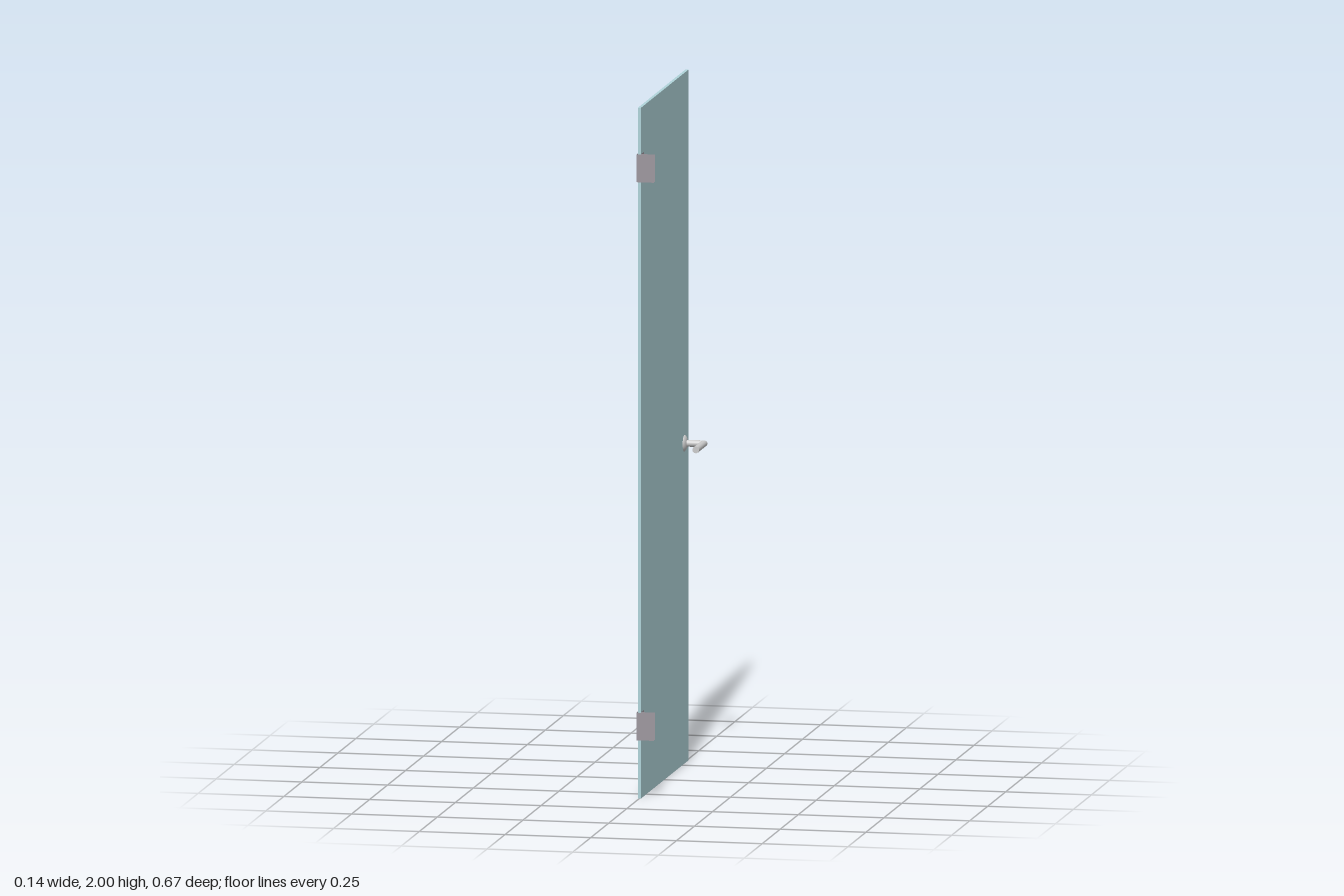
import * as THREE from 'three';

const glass = new THREE.MeshStandardMaterial({ color: 0xb0d4da });
const metal = new THREE.MeshStandardMaterial({ color: 0xcccccc });
const hingeMetal = new THREE.MeshStandardMaterial({ color: 0x9c969e, side: THREE.DoubleSide });

function addMesh(parent, name, geometry, material) {
  const mesh = new THREE.Mesh(geometry, material);
  mesh.name = name;
  parent.add(mesh);
  return mesh;
}

// Open L-shaped sheet: one leaf along the glass, one leaf across the edge
function addAngleSheet(parent, name, x, z, height) {
  const zInner = 0.286, xOuter = 0.045;
  const side = addMesh(parent, name + 'SideLeaf', new THREE.PlaneGeometry(z - zInner, height), hingeMetal);
  side.rotation.y = -Math.PI / 2;
  side.position.set(x, 0, (z + zInner) / 2);
  const front = addMesh(parent, name + 'FrontLeaf', new THREE.PlaneGeometry(xOuter - x, height), hingeMetal);
  front.position.set((x + xOuter) / 2, 0, z);
}

function createHinge(name, y) {
  const hinge = new THREE.Group();
  hinge.name = name;
  addAngleSheet(hinge, 'outer', -0.006, 0.335, 0.08);
  addAngleSheet(hinge, 'inner', 0.005, 0.323, 0.08);
  hinge.position.y = y;
  return hinge;
}

// Lever handle reaching out along +x, then turning towards +z with a mitred corner
function createHandle(name) {
  const handle = new THREE.Group();
  handle.name = name;
  const r = 0.0098, reach = 0.06, length = 0.106;

  // Domed rose
  const profile = [[0.024, 0.004], [0.0235, 0.006], [0.02, 0.009], [0.015, 0.0115], [0.0095, 0.0125], [0, 0.0125]];
  const rose = new THREE.LatheGeometry(profile.map(([a, b]) => new THREE.Vector2(a, b)), 32);
  addMesh(handle, 'rose', rose.rotateZ(-Math.PI / 2), metal);

  // Neck, its outer end cut at 45 degrees
  const neck = new THREE.CylinderGeometry(r, r, reach, 24, 1, true);
  neck.rotateZ(-Math.PI / 2).translate(reach / 2, 0, 0);
  const np = neck.attributes.position;
  for (let i = 0; i < np.count; i++) {
    if (np.getX(i) > reach / 2) np.setX(i, reach - np.getZ(i));
  }
  addMesh(handle, 'neck', neck, metal);

  // Grip, its inner end cut to match
  const grip = new THREE.CylinderGeometry(r, r, length, 24);
  grip.rotateX(Math.PI / 2).translate(reach, 0, length / 2);
  const gp = grip.attributes.position;
  for (let i = 0; i < gp.count; i++) {
    if (gp.getZ(i) < length / 2) gp.setZ(i, reach - gp.getX(i));
  }
  addMesh(handle, 'grip', grip, metal);

  handle.position.set(0, 0.928, -0.278);
  return handle;
}

export function createModel() {
  const door = new THREE.Group();
  door.name = 'glassDoor';

  // Glass leaf
  const panel = addMesh(door, 'glassPanel', new THREE.BoxGeometry(0.009, 2, 0.661), glass);
  panel.position.set(0, 1, -0.0055);

  // Hinges
  door.add(createHinge('upperHinge', 1.826), createHinge('lowerHinge', 0.21));

  // Handles on both faces
  const left = createHandle('leftHandle');
  const right = createHandle('rightHandle');
  right.rotation.z = Math.PI;
  door.add(left, right);

  return door;
}
